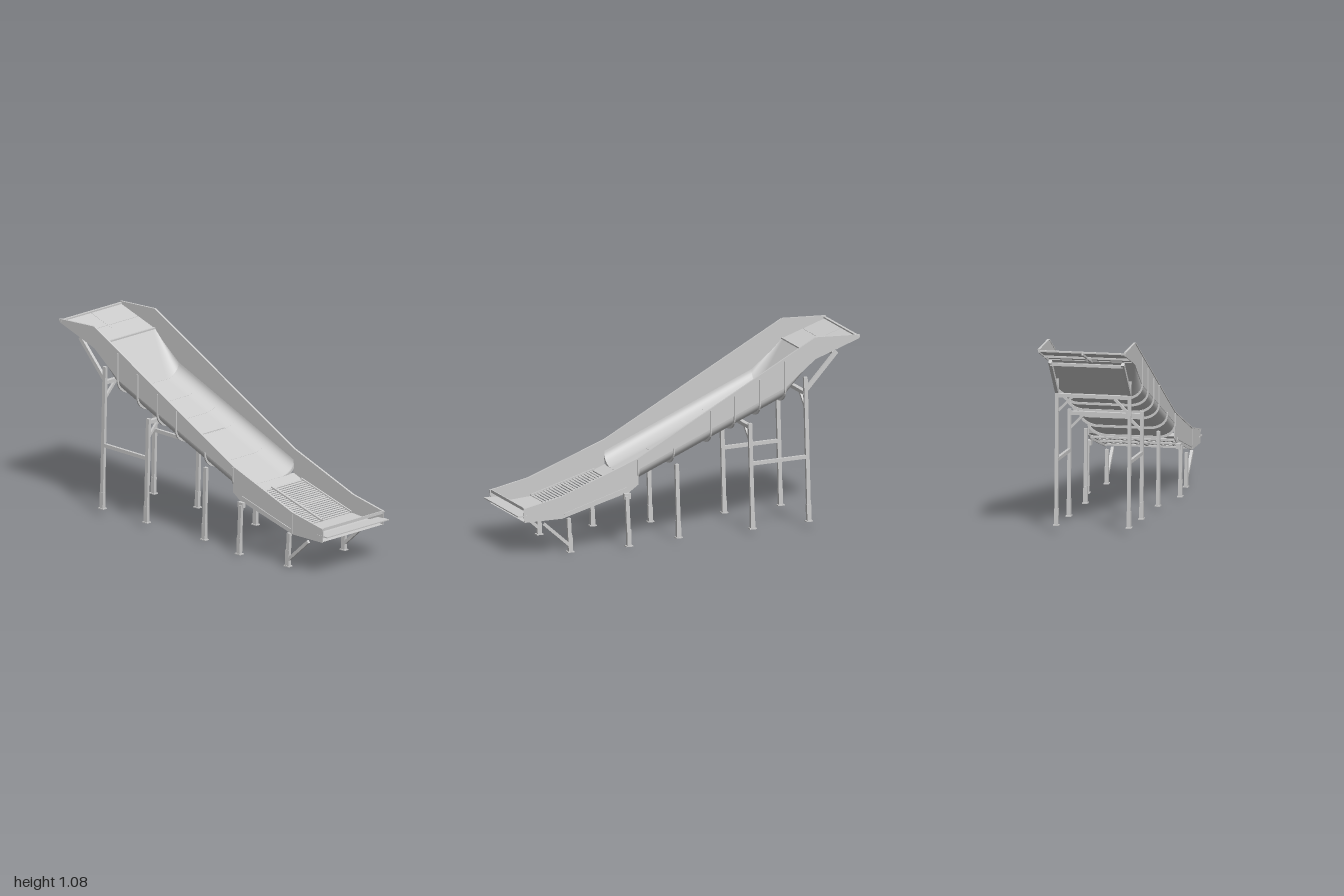
import * as THREE from 'three';

const mat = new THREE.MeshStandardMaterial({ color: 0xcccccc, side: THREE.DoubleSide });
const W = 0.24; // half width of the chute

export function createModel() {
  const model = new THREE.Group();
  const add = (name, geo) => {
    const m = new THREE.Mesh(geo, mat);
    m.name = name;
    model.add(m);
    return m;
  };
  // straight bar between two points: w across, h in the other direction
  const bar = (name, a, b, w = 0.02, h = w) => {
    const A = new THREE.Vector3(...a), B = new THREE.Vector3(...b);
    const dir = B.clone().sub(A), len = dir.length();
    dir.normalize();
    const hint = Math.abs(dir.x) > 0.9 ? new THREE.Vector3(0, 0, 1) : new THREE.Vector3(1, 0, 0);
    const up = dir.clone().cross(hint).normalize();
    const side = up.clone().cross(dir).normalize();
    const m = add(name, new THREE.BoxGeometry(w, h, len));
    m.quaternion.setFromRotationMatrix(new THREE.Matrix4().makeBasis(side, up, dir));
    m.position.copy(A).add(B).multiplyScalar(0.5);
    return m;
  };
  // the same bar on both sides
  const pair = (name, a, b, w, h) => [1, -1].forEach(s =>
    bar((s > 0 ? 'left ' : 'right ') + name, [s * a[0], a[1], a[2]], [s * b[0], b[1], b[2]], w, h));
  const cross = (name, x, y, z, w, h) => bar(name, [-x, y, z], [x, y, z], w, h);
  // sheet lofted through rows of points
  const sheet = (name, rows) => {
    const n = rows[0].length, index = [];
    for (let i = 0; i < rows.length - 1; i++) for (let j = 0; j < n - 1; j++) {
      const a = i * n + j, b = a + n;
      index.push(a, a + 1, b, b, a + 1, b + 1);
    }
    const g = new THREE.BufferGeometry();
    g.setAttribute('position', new THREE.Float32BufferAttribute(rows.flat(2), 3));
    g.setIndex(index);
    g.computeVertexNormals();
    return add(name, g);
  };
  const flat = (name, z0, y0, z1, y1) =>
    sheet(name, [[[-W, y0, z0], [W, y0, z0]], [[-W, y1, z1], [W, y1, z1]]]);
  // round-cornered trough outline as [x, y] pairs
  const outline = (w, y, rx, ry) => {
    const pts = [];
    for (let i = 0; i <= 10; i++) {
      const t = i / 10 * Math.PI / 2;
      pts.push([-w + rx * (1 - Math.cos(t)), y + ry * (1 - Math.sin(t))]);
    }
    return [...pts, ...pts.map(([x, v]) => [-x, v]).reverse()];
  };
  const row = (z, y, rx, ry) => outline(W, y, rx, ry).map(([x, v]) => [x, v, z]);
  const floorY = z => 0.355 + (0.31 - z) * 0.437;

  // side walls with top rims
  const top = [[0.99, 0.268], [0.76, 0.318], [0.31, 0.492], [-0.74, 1.076], [-1, 1.068]];
  const low = [[-1, 1.05], [-0.74, 0.955], [-0.56, 0.81], [0.31, 0.43], [0.31, 0.345],
    [0.36, 0.31], [0.76, 0.195], [0.985, 0.192]];
  const wall = new THREE.Shape([...top, ...low].map(p => new THREE.Vector2(...p)));
  for (const s of [1, -1]) {
    const g = new THREE.ExtrudeGeometry(wall, { depth: 0.005, bevelEnabled: false });
    g.rotateY(-Math.PI / 2);
    add(s > 0 ? 'left wall' : 'right wall', g).position.x = s * W + 0.0025;
  }
  for (let i = 0; i < top.length - 1; i++)
    pair('rim', [W + 0.001, top[i][1], top[i][0]], [W + 0.001, top[i + 1][1], top[i + 1][0]], 0.012, 0.006);
  pair('grate angle', [W + 0.004, 0.218, 0.75], [W + 0.004, 0.333, 0.375], 0.006, 0.012);
  pair('wall seam', [W + 0.003, 0.2, 0.76], [W + 0.003, 0.318, 0.76], 0.006, 0.005);

  // front tray
  flat('front tray floor', 0.985, 0.196, 0.75, 0.216);
  cross('front lip', W + 0.005, 0.229, 0.985, 0.076, 0.006);
  cross('front lip rim', W + 0.005, 0.265, 0.981, 0.006, 0.016);
  cross('tray stiffener', W, 0.2, 0.86, 0.014, 0.012);

  // grate of slats in two bays
  const grateY = z => 0.218 + (0.75 - z) * 0.3;
  for (let i = 0; i < 22; i++) {
    const z = 0.742 - i * 0.0172;
    for (const s of [1, -1]) {
      const slat = add('grate slat', new THREE.BoxGeometry(W - 0.008, 0.004, 0.011));
      slat.position.set(s * (W / 2 + 0.002), grateY(z), z);
      slat.rotation.x = 0.3;
    }
  }
  bar('grate centre bar', [0, grateY(0.75), 0.75], [0, grateY(0.37), 0.37], 0.014, 0.02);
  for (const z of [0.75, 0.56, 0.372]) cross('grate cross bar', W, grateY(z) - 0.008, z, 0.022, 0.01);
  pair('grate edge bar', [W - 0.007, grateY(0.75), 0.75], [W - 0.007, grateY(0.37), 0.37], 0.01, 0.016);
  flat('step plate', 0.372, grateY(0.372), 0.31, 0.355);

  // trough, transition to flat and upper plate
  sheet('trough', [row(0.31, floorY(0.31), 0.1, 0.075), row(-0.56, floorY(-0.56), 0.1, 0.075)]);
  sheet('transition', [0, 0.25, 0.5, 0.75, 1].map(t =>
    row(-0.56 - 0.18 * t, 0.735 + 0.232 * t, 0.1 - 0.08 * t, 0.075 - 0.073 * t)));
  flat('upper plate', -0.74, 0.967, -1, 1.058);
  cross('upper plate front edge', W, 0.968, -0.74, 0.012, 0.008);
  cross('upper plate back edge', W + 0.005, 1.06, -0.995, 0.016, 0.008);
  cross('upper plate stiffener', W, 1.006, -0.87, 0.016, 0.01);
  bar('upper plate spine', [0, 0.96, -0.74], [0, 1.05, -0.99], 0.01, 0.012);

  // ribs wrapping the trough: [z, top of rib]
  for (const [z, h] of [[0.31, 0.485], [0.1, 0.53], [-0.12, 0.722], [-0.26, 0.79], [-0.41, 0.87], [-0.56, 0.96]]) {
    const y = floorY(z);
    const outer = outline(W + 0.009, y - 0.014, 0.105, 0.08), inner = outline(W + 0.001, y - 0.001, 0.1, 0.075);
    const pts = [[-W - 0.009, h], ...outer, [W + 0.009, h], [W + 0.001, h], ...inner.reverse(), [-W - 0.001, h]];
    const g = new THREE.ExtrudeGeometry(new THREE.Shape(pts.map(p => new THREE.Vector2(...p))),
      { depth: 0.008, bevelEnabled: false });
    add('trough rib', g).position.z = z - 0.004;
  }
  // raised seam in the trough floor
  cross('trough seam', W - 0.1, floorY(-0.122), -0.122, 0.004, 0.005);

  // legs: [half spread, z at top, y at top, z at foot, y at foot]
  const legs = [
    [0.222, 0.715, 0.19, 0.705, 0.004], [0.26, 0.385, 0.29, 0.373, 0.014], [0.203, 0.067, 0.43, 0.055, 0.02],
    [0.203, -0.367, 0.62, -0.383, 0.03], [0.203, -0.695, 0.85, -0.716, 0.042]];
  for (const [x, zt, yt, zf, yf] of legs) {
    pair('leg', [x, yf, zf], [x, yt, zt], 0.018, 0.022);
    pair('leg sleeve', [x, yf, zf], [x, yf + 0.09, zf + 0.002], 0.021, 0.025);
    pair('foot plate', [x, yf - 0.003, zf - 0.02], [x, yf - 0.003, zf + 0.02], 0.03, 0.006);
  }
  pair('leg bracket', [W + 0.01, 0.29, 0.36], [W + 0.01, 0.29, 0.4], 0.024, 0.03);

  // bracing
  pair('front brace', [0.222, 0.04, 0.712], [0.222, 0.17, 0.86], 0.016, 0.018);
  pair('upper brace', [0.203, 0.78, -0.7], [0.203, 0.98, -0.88], 0.018, 0.022);
  pair('side beam', [0.203, 0.392, -0.375], [0.203, 0.402, -0.707], 0.016, 0.02);
  cross('upper brace cross beam', 0.203, 0.965, -0.87, 0.02, 0.016);
  cross('rear cross beam', 0.203, 0.76, -0.698, 0.026, 0.02);
  cross('middle cross beam', 0.203, 0.6, -0.369, 0.026, 0.02);
  pair('rear knee brace', [0.2, 0.67, -0.7], [0.12, 0.75, -0.7], 0.014);
  pair('middle knee brace', [0.2, 0.515, -0.371], [0.12, 0.595, -0.37], 0.014);

  return model;
}
